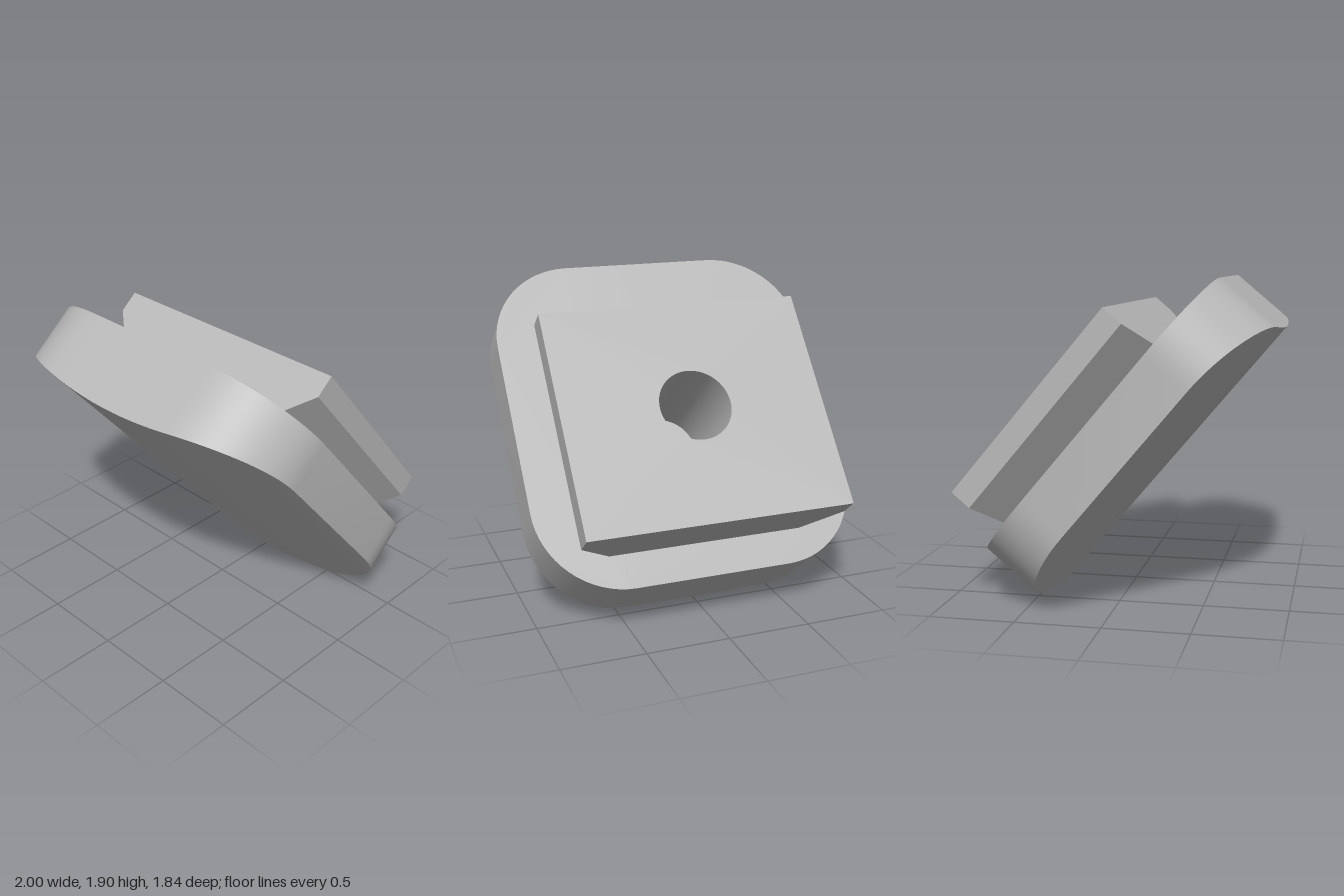
import * as THREE from 'three';
import { toCreasedNormals } from 'three/addons/utils/BufferGeometryUtils.js';

const W = 1, H = 1.05, R = 0.52;            // slab half width, half height, corner radius
const THICK = 0.46, SAG = 0.16;             // slab thickness at the middle, loss at the sides
const HOLE_R = 0.22, HOLE_Y = -0.12;

// depth of the crowned front at a given x
const frontZ = x => THICK - SAG * x * x;

function circlePath() {
  return new THREE.Path().absarc(0, HOLE_Y, HOLE_R, 0, Math.PI * 2, true);
}

// top edge of the rounded outline, left to right
function topEdge() {
  const pts = [], n = 16;
  for (let i = 0; i <= n; i++) {
    const a = (i / n) * Math.PI / 2;
    pts.push(new THREE.Vector2(-W + R - R * Math.cos(a), H - R + R * Math.sin(a)));
  }
  for (let i = 1; i < 12; i++) pts.push(new THREE.Vector2((W - R) * (i / 6 - 1), H));
  for (let i = n; i >= 0; i--) pts.push(new THREE.Vector2(-pts[i].x, pts[i].y));
  return pts;
}

function slabGeometry() {
  const top = topEdge();
  const bottom = top.map(p => new THREE.Vector2(p.x, -p.y));
  const outline = [...bottom, ...top.slice().reverse()];   // counter-clockwise from the front
  const pos = [];
  const quad = (a, b, c, d) => pos.push(...a, ...b, ...c, ...a, ...c, ...d);
  const front = p => [p.x, p.y, frontZ(p.x)];
  const back = p => [p.x, p.y, 0];

  // crowned front, in vertical strips
  for (let i = 0; i < top.length - 1; i++) {
    quad(front(bottom[i]), front(bottom[i + 1]), front(top[i + 1]), front(top[i]));
  }
  // rim
  outline.forEach((p, i) => {
    const q = outline[(i + 1) % outline.length];
    quad(back(p), back(q), front(q), front(p));
  });
  // flat back with the hole, turned to face backwards
  const shape = new THREE.Shape(outline);
  shape.holes.push(circlePath());
  const cap = new THREE.ShapeGeometry(shape, 32).toNonIndexed().attributes.position;
  for (let i = 0; i < cap.count; i += 3) {
    for (const k of [i, i + 2, i + 1]) pos.push(cap.getX(k), cap.getY(k), 0);
  }
  const g = new THREE.BufferGeometry();
  g.setAttribute('position', new THREE.Float32BufferAttribute(pos, 3));
  return toCreasedNormals(g, 0.5);
}

// block with straight flanges that taper to a narrower neck at the slab
function blockGeometry() {
  const x = 0.81, y0 = -0.843, y1 = 0.546, depth = 0.357;
  const shape = new THREE.Shape([
    new THREE.Vector2(-x, y0), new THREE.Vector2(x, y0),
    new THREE.Vector2(x, y1), new THREE.Vector2(-x, y1)
  ]);
  shape.holes.push(circlePath());
  const g = new THREE.ExtrudeGeometry(shape, { depth, steps: 2, bevelEnabled: false, curveSegments: 32 });
  const p = g.attributes.position;
  for (let i = 0; i < p.count; i++) {
    const layer = Math.round(p.getZ(i) / depth * 2);
    p.setZ(i, [-depth, -0.22, 0][layer]);
    if (layer === 2 && Math.abs(p.getX(i)) > 0.5) p.setX(i, Math.sign(p.getX(i)) * 0.6);
  }
  return toCreasedNormals(g, 0.5);
}

// blind end of the hole inside the slab
function boreGeometry() {
  const profile = [[HOLE_R, 0], [HOLE_R, 0.36], [0, 0.36]].map(p => new THREE.Vector2(...p));
  const g = new THREE.LatheGeometry(profile, 64);
  g.rotateX(Math.PI / 2).translate(0, HOLE_Y, 0);
  return toCreasedNormals(g, 0.5);
}

export function createModel() {
  const grey = new THREE.MeshStandardMaterial({ color: 0xb8b8b8, side: THREE.DoubleSide });
  grey.name = 'grey';

  const model = new THREE.Group();
  model.name = 'tiltedPad';
  const parts = { padSlab: slabGeometry(), mountingBlock: blockGeometry(), holeBore: boreGeometry() };
  for (const [name, geometry] of Object.entries(parts)) {
    const mesh = new THREE.Mesh(geometry, grey);
    mesh.name = name;
    // lean the whole piece forward
    mesh.rotation.x = THREE.MathUtils.degToRad(40);
    mesh.position.set(0, 1.105, -0.105);
    model.add(mesh);
  }
  return model;
}
